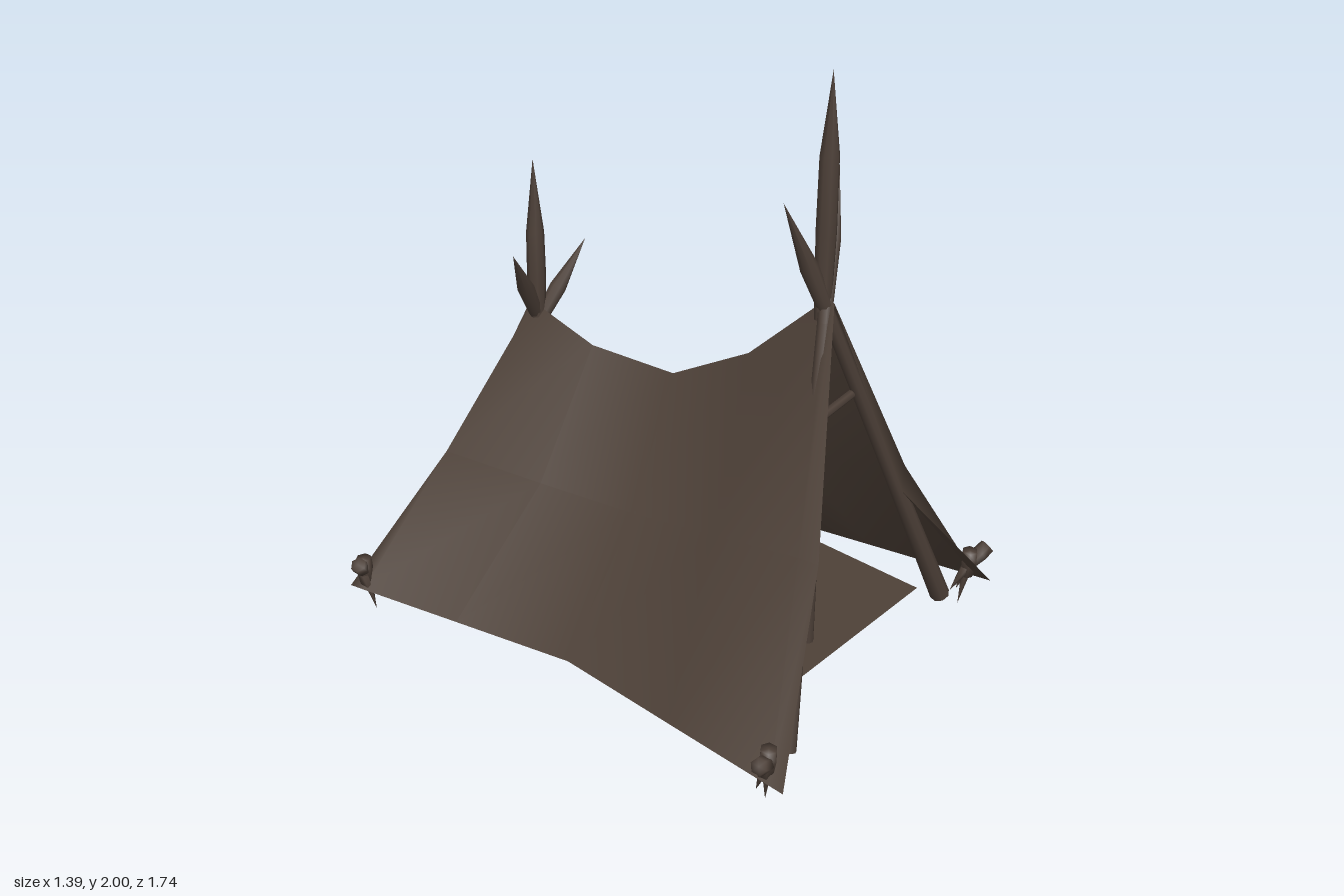
import * as THREE from 'three';

const cloth = new THREE.MeshStandardMaterial({ color: 0x4e4138, side: THREE.DoubleSide });
cloth.name = 'hide brown';
const wood = new THREE.MeshStandardMaterial({ color: 0x4d4038 });
wood.name = 'dark wood';

const V = (x, y, z) => new THREE.Vector3(x, y, z);

// Lathe along the line a-b; profile entries are [radius, fraction of length]
function rod(name, a, b, profile, sides = 8) {
  const len = a.distanceTo(b);
  const geo = new THREE.LatheGeometry(profile.map(([r, t]) => new THREE.Vector2(r, t * len)), sides);
  const mesh = new THREE.Mesh(geo, wood);
  mesh.name = name;
  mesh.position.copy(a);
  mesh.quaternion.setFromUnitVectors(V(0, 1, 0), b.clone().sub(a).normalize());
  return mesh;
}

// One sagging side: columns from front to back, rows from ridge to hem.
// The first and last columns are narrow flaps folded inward around the poles.
function clothSide(side) {
  const columns = [
    [[0, 1.31, 0.588], [0.245, 0.6, 0.72], [0.64, 0.1, 0.87]],
    [[0, 1.32, 0.565], [0.31, 0.65, 0.69], [0.634, 0.1, 0.82]],
    [[0, 1.06, 0.3], [0.25, 0.56, 0.35], [0.585, 0.1, 0.43]],
    [[0, 0.9, 0.02], [0.2, 0.48, 0.01], [0.53, 0.1, 0]],
    [[0, 0.9, -0.3], [0.235, 0.48, -0.34], [0.585, 0.1, -0.42]],
    [[0, 0.985, -0.545], [0.325, 0.53, -0.665], [0.634, 0.1, -0.79]],
    [[0, 0.97, -0.565], [0.235, 0.495, -0.69], [0.64, 0.1, -0.84]],
  ];
  const pos = columns.flat().flatMap(([x, y, z]) => [x * side, y, z]);
  const index = [];
  for (let c = 0; c < columns.length - 1; c++) {
    for (let r = 0; r < 2; r++) {
      const a = c * 3 + r, b = a + 1, d = a + 3, e = a + 4;
      if (side > 0) index.push(a, b, e, a, e, d);
      else index.push(a, e, b, a, d, e);
    }
  }
  const geo = new THREE.BufferGeometry();
  geo.setAttribute('position', new THREE.Float32BufferAttribute(pos, 3));
  geo.setIndex(index);
  geo.computeVertexNormals();
  const mesh = new THREE.Mesh(geo, cloth);
  mesh.name = side > 0 ? 'leftCloth' : 'rightCloth';
  return mesh;
}

// Forked ground peg with a knobbly head (ending at headX, headZ) and splintered points
function peg(sx, sz, headX, headZ) {
  const g = new THREE.Group();
  g.name = 'groundPeg';
  const at = (x, y, z) => V(x * sx, y, z * sz);
  const spike = [[0, 0], [0.012, 0.5], [0.018, 0.85], [0, 1]];
  const knob = [[0, 0], [0.02, 0], [0.028, 0.6], [0.026, 1], [0, 1]];
  g.add(
    rod('pegSpike', at(0.59, 0, 0.78), at(0.615, 0.19, 0.8), spike, 6),
    rod('pegSplinter', at(0.565, 0.06, 0.76), at(0.61, 0.16, 0.8), spike, 6),
    rod('pegSplinter', at(0.61, 0.04, 0.76), at(0.62, 0.17, 0.8), spike, 6),
    rod('pegNeck', at(0.61, 0.11, 0.795), at(0.61, 0.21, 0.8), knob, 6),
    rod('pegHead', at(0.61, 0.155, 0.8), at(headX, 0.205, headZ), knob, 6),
  );
  return g;
}

// Pole profiles: narrow foot, swelling to a sharpened point
const upright = (tip) => [[0, 0], [0.019, 0], [0.022, 0.55], [0.031, tip - 0.12], [0.029, tip], [0, 1]];
const leaning = [[0, 0], [0.033, 0], [0.025, 0.35], [0.021, 0.72], [0.028, 0.86], [0, 1]];
const bar = [[0, 0], [0.014, 0], [0.014, 1], [0, 1]];

export function createModel() {
  const tent = new THREE.Group();
  tent.name = 'tent';
  tent.add(clothSide(1), clothSide(-1));

  // Ground mat, turned slightly
  const mat = new THREE.Mesh(new THREE.PlaneGeometry(0.98, 1.34).rotateX(-Math.PI / 2), cloth);
  mat.name = 'groundMat';
  mat.position.set(0.03, 0.104, -0.02);
  mat.rotation.y = -0.095;
  tent.add(mat);

  // Front frame
  tent.add(
    rod('frontUpright', V(0, 0.1, 0.55), V(0, 2, 0.55), upright(0.87)),
    rod('frontPole', V(-0.47, 0.09, 0.77), V(0.155, 1.7, 0.49), leaning),
    rod('frontPole', V(0.5, 0.08, 0.755), V(-0.15, 1.65, 0.5), leaning),
    rod('frontCrossbar', V(-0.105, 0.97, 0.6), V(0.105, 0.97, 0.6), bar, 6),
  );

  // Back frame
  tent.add(
    rod('backUpright', V(0, 0.1, -0.53), V(0, 1.49, -0.525), upright(0.82)),
    rod('backPole', V(-0.53, 0.1, -0.745), V(0.16, 1.18, -0.45), leaning),
    rod('backPole', V(0.53, 0.1, -0.745), V(-0.185, 1.24, -0.46), leaning),
    rod('backCrossbar', V(-0.115, 0.745, -0.565), V(0.115, 0.745, -0.565), bar, 6),
  );

  // Corner pegs
  tent.add(peg(1, 1, 0.675, 0.83), peg(-1, 1, 0.685, 0.815), peg(1, -1, 0.65, 0.855), peg(-1, -1, 0.645, 0.79));
  return tent;
}
